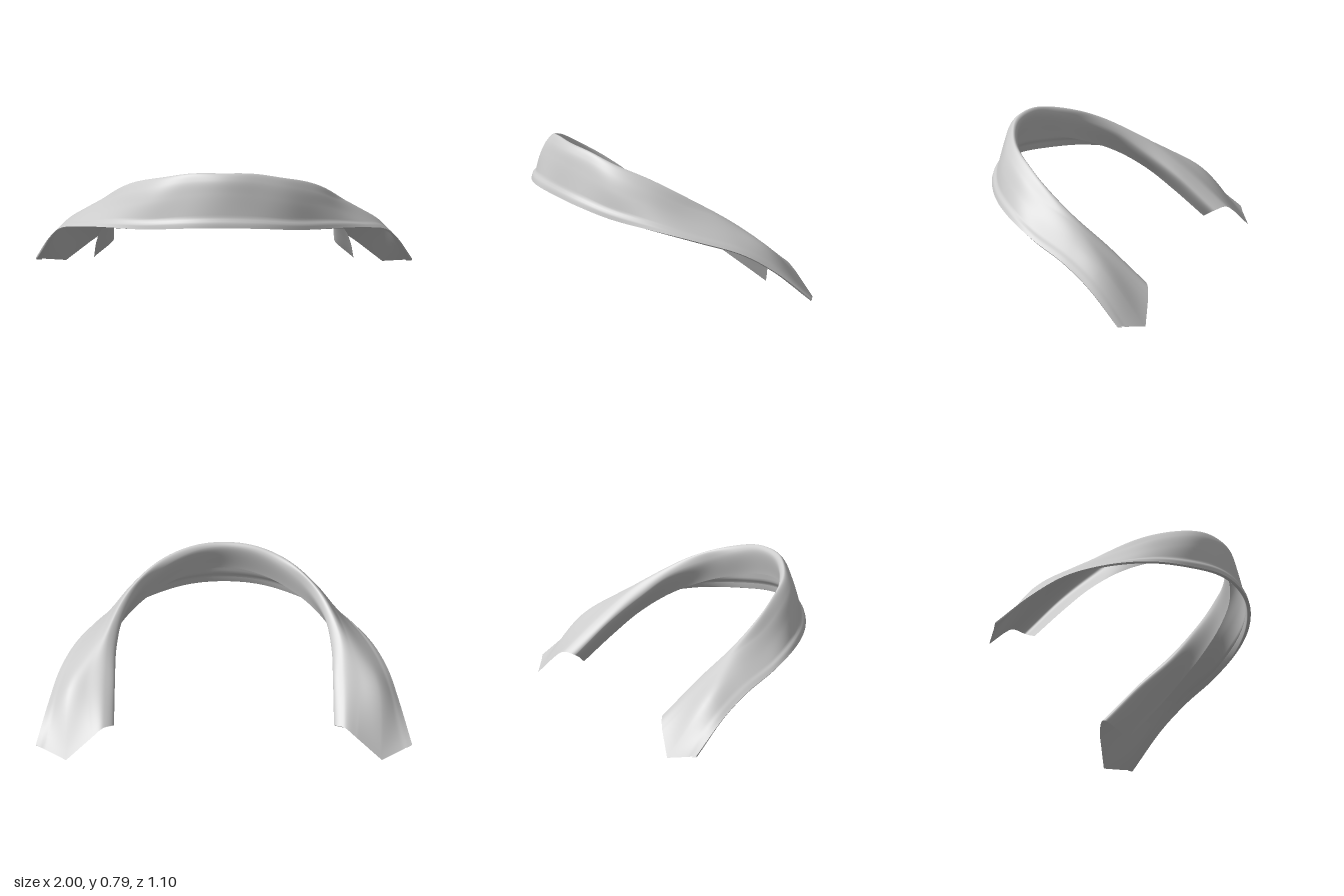
import * as THREE from 'three';

// Guide lines from the middle of the front to the end of the left arm (x, y, z per station).
const GUIDES = {
  rim: [[0, .513, .538], [.2, .503, .518], [.408, .472, .434], [.612, .437, .288], [.768, .385, .105], [.868, .315, -.095], [.928, .21, -.26], [1, .042, -.45]],
  wall: [[0, .69, .505], [.19, .67, .475], [.373, .62, .415], [.537, .555, .28], [.66, .478, .112], [.765, .4, -.115], [.828, .293, -.303], [.84, .002, -.55]],
  shoulder: [[0, .76, .482], [.18, .745, .45], [.345, .7, .39], [.495, .63, .26], [.6, .545, .105], [.67, .467, -.09], [.718, .334, -.28], [.71, .115, -.52]],
  crest: [[0, .79, .45], [.165, .781, .425], [.318, .74, .36], [.45, .68, .235], [.55, .6, .1], [.61, .497, -.06], [.63, .36, -.25], [.64, .165, -.49]],
  inner: [[0, .772, .43], [.14, .76, .41], [.28, .715, .355], [.42, .645, .25], [.53, .55, .08], [.57, .44, -.07], [.58, .31, -.26], [.585, .155, -.445]],
  flap: [[0, .635, .458], [.15, .62, .435], [.3, .58, .375], [.46, .515, .25], [.58, .43, .1], [.645, .33, -.045], [.675, .22, -.18], [.69, .08, -.35]],
};
const ROWS = 112, STEPS = 16;

// Mirrors a guide across x = 0 and makes one smooth curve from the right end to the left end.
function guideCurve(points) {
  const left = points.map((p) => new THREE.Vector3(...p));
  const right = left.slice(1).reverse().map((p) => new THREE.Vector3(-p.x, p.y, p.z));
  return new THREE.CatmullRomCurve3([...right, ...left]);
}

// Joins equal-length cross-sections into a smooth open surface.
function loft(sections) {
  const cols = sections[0].length;
  const index = [];
  for (let i = 0; i < sections.length - 1; i++) {
    for (let j = 0; j < cols - 1; j++) {
      const a = i * cols + j, b = a + cols;
      index.push(a, b, a + 1, b, b + 1, a + 1);
    }
  }
  const geometry = new THREE.BufferGeometry().setFromPoints(sections.flat());
  geometry.setIndex(index);
  geometry.computeVertexNormals();
  return geometry;
}

export function createModel() {
  const group = new THREE.Group();
  group.name = 'curvedBand';
  const material = new THREE.MeshStandardMaterial({ color: 0xcccccc, side: THREE.DoubleSide });
  const curves = Object.values(GUIDES).map(guideCurve);

  const bandSections = [], edgeSections = [];
  for (let i = 0; i <= ROWS; i++) {
    const t = i / ROWS, side = Math.abs(2 * t - 1);

    // Wall, rolled crest and hanging flap; the outer corner of each cut end is sharp
    const keys = curves.map((curve) => curve.getPoint(t));
    const smooth = new THREE.CatmullRomCurve3(keys);
    const section = [];
    for (let j = 0; j <= (keys.length - 1) * STEPS; j++) {
      const k = Math.min(Math.floor(j / STEPS), keys.length - 2);
      const point = smooth.getPoint(j / STEPS / (keys.length - 1));
      const linear = keys[k].clone().lerp(keys[k + 1], j / STEPS - k);
      section.push(point.lerp(linear, k < 2 ? side ** 20 : 0));
    }

    // Raised hem along the rim, fading out towards the arms
    const rim = section[0].clone();
    const up = section[1].clone().sub(rim).normalize();
    const out = curves[0].getTangent(t).cross(up).normalize();
    const height = .013 * (1 - .8 * THREE.MathUtils.smoothstep(side, .2, .75));
    for (const point of section.slice(0, STEPS)) {
      const fade = 1 - THREE.MathUtils.smoothstep(point.distanceTo(rim), .025, .055);
      point.addScaledVector(out, height * fade);
    }
    bandSections.push(section);

    // Thin edge turned in behind the rim
    const at = (u, o) => rim.clone().addScaledVector(up, u).addScaledVector(out, o);
    edgeSections.push([at(.035, -.007), at(.003, -.007), at(0, -.004), section[0].clone()]);
  }

  for (const [name, sections] of [['band', bandSections], ['rimEdge', edgeSections]]) {
    const mesh = new THREE.Mesh(loft(sections), material);
    mesh.name = name;
    group.add(mesh);
  }
  return group;
}
